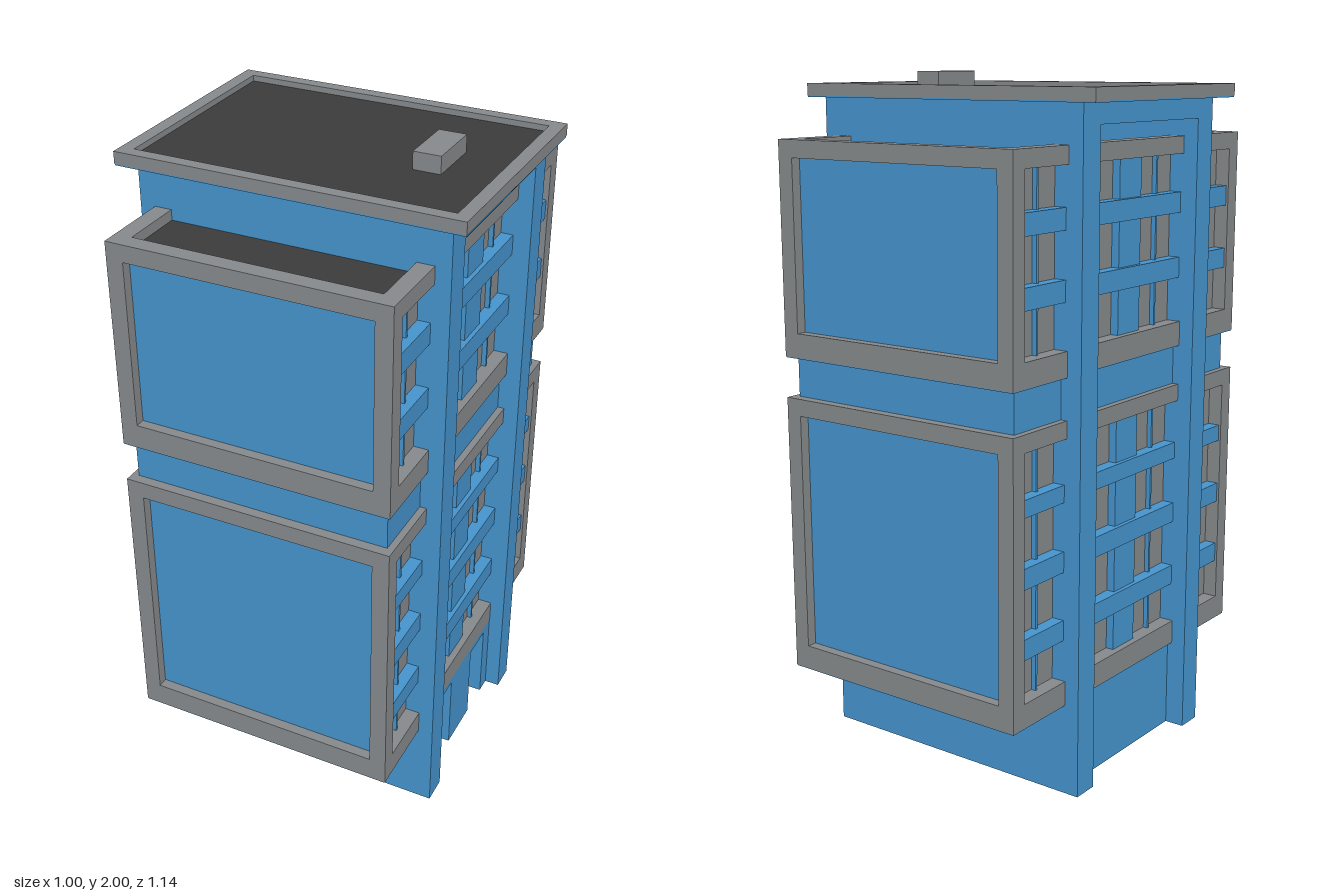
import * as THREE from 'three';

export function createModel() {
  const root = new THREE.Group();
  root.name = 'towerBlock';
  const mat = (name, color) => {
    const m = new THREE.MeshStandardMaterial({ color });
    m.name = name;
    return m;
  };
  const blue = mat('blueWall', 0x4593cc);
  const grey = mat('greyConcrete', 0x86898b);
  const dark = mat('darkRoofing', 0x3b3b3b);

  // Box given by its minimum and maximum on each axis
  const box = (name, m, x0, x1, y0, y1, z0, z1, parent = root) => {
    const mesh = new THREE.Mesh(new THREE.BoxGeometry(x1 - x0, y1 - y0, z1 - z0), m);
    mesh.position.set((x0 + x1) / 2, (y0 + y1) / 2, (z0 + z1) / 2);
    mesh.name = name;
    parent.add(mesh);
    return mesh;
  };
  const C = 0.005; // centre line of the tower in x
  // Box on the long facade: d0..d1 is the distance out from the centre line
  const onSide = (name, m, s, d0, d1, y0, y1, z0, z1, parent) =>
    box(name, m, Math.min(C + s * d0, C + s * d1), Math.max(C + s * d0, C + s * d1), y0, y1, z0, z1, parent);

  // Tall side walls whose ends show as fins
  for (const s of [1, -1]) {
    box('sideWall', blue, -0.445, 0.455, 0, 1.93, s > 0 ? 0.25 : -0.33, s > 0 ? 0.33 : -0.25);
  }
  box('topBeam', blue, -0.445, 0.455, 1.87, 1.93, -0.25, 0.25);

  // Flat roof with raised rim
  box('roofSlab', grey, -0.5, 0.5, 1.932, 1.945, -0.358, 0.358);
  box('roofUnderside', blue, -0.499, 0.499, 1.928, 1.932, -0.357, 0.357);
  box('roofCovering', dark, -0.46, 0.46, 1.945, 1.95, -0.32, 0.32);
  for (const s of [1, -1]) {
    box('roofRim', grey, -0.5, 0.5, 1.932, 1.967, s > 0 ? 0.32 : -0.358, s > 0 ? 0.358 : -0.32);
    box('roofRim', grey, s > 0 ? 0.46 : -0.5, s > 0 ? 0.5 : -0.46, 1.932, 1.967, -0.32, 0.32);
  }
  box('roofVent', grey, 0.235, 0.315, 1.95, 2.0, -0.085, 0.085);

  // Waist between the two bays
  box('waist', blue, -0.38, 0.39, 1.09, 1.21, -0.54, 0.54);

  // Framed bay: y range and the y ranges of its spandrels
  const bay = (name, y0, y1, spandrels) => {
    const g = new THREE.Group();
    g.name = name;
    root.add(g);
    const lo = y0 + 0.07, hi = y1 - 0.05, E = 0.57, F = 0.405;
    box('bayCore', blue, C - 0.355, C + 0.355, y0 + 0.002, y1 - 0.035, -0.54, 0.54, g);
    box('bayUnderside', blue, C - F + 0.001, C + F - 0.001, y0 - 0.003, y0 + 0.001, -E + 0.001, E - 0.001, g);
    for (const s of [1, -1]) {
      // frame bars and corner posts
      for (const [a, b] of [[y0, lo], [hi, y1]]) {
        onSide('longFrameBar', grey, s, 0.355, F, a, b, -E, E, g);
        box('endFrameBar', grey, C - 0.355, C + 0.355, a, b, s > 0 ? 0.52 : -E, s > 0 ? E : -0.52, g);
      }
      for (const t of [1, -1]) {
        onSide('cornerPost', grey, s, 0.355, F, lo, hi, t > 0 ? 0.52 : -E, t > 0 ? E : -0.52, g);
        // window strips and mullions
        onSide('windowStrip', grey, s, 0.355, 0.361, lo, hi, t > 0 ? 0.055 : -0.52, t > 0 ? 0.52 : -0.055, g);
        for (const z of [0.155, 0.425]) {
          onSide('mullion', blue, s, 0.355, 0.375, lo, hi, t * z - 0.004, t * z + 0.004, g);
        }
      }
      onSide('centreColumn', blue, s, 0.355, 0.385, lo, hi, -0.055, 0.055, g);
      for (const [a, b] of spandrels) {
        onSide('spandrel', blue, s, 0.355, 0.398, a, b, -0.52, 0.52, g);
      }
    }
    return g;
  };
  bay('lowerBay', 0.27, 1.09, [[0.46, 0.52], [0.66, 0.72], [0.86, 0.91]]);
  const upper = bay('upperBay', 1.21, 1.82, [[1.41, 1.47], [1.6, 1.66]]);
  box('bayRoof', dark, C - 0.355, C + 0.355, 1.785, 1.79, -0.52, 0.52, upper);

  // Open-bottomed ground floor: plain wall on one side, entrances on the other
  box('groundWall', blue, -0.385, -0.365, 0, 0.27, -0.25, 0.25);
  box('entranceBackWall', blue, 0.29, 0.31, 0, 0.27, -0.25, 0.25);
  for (const [a, b] of [[0.18, 0.25], [-0.09, 0.07], [-0.25, -0.2]]) {
    box('entrancePier', blue, 0.31, 0.409, 0, 0.27, a, b);
  }
  for (const [a, b] of [[0.07, 0.18], [-0.2, -0.09]]) {
    box('door', grey, 0.31, 0.318, 0.01, 0.25, a, b);
    box('doorLintel', blue, 0.31, 0.409, 0.25, 0.27, a, b);
  }
  return root;
}
